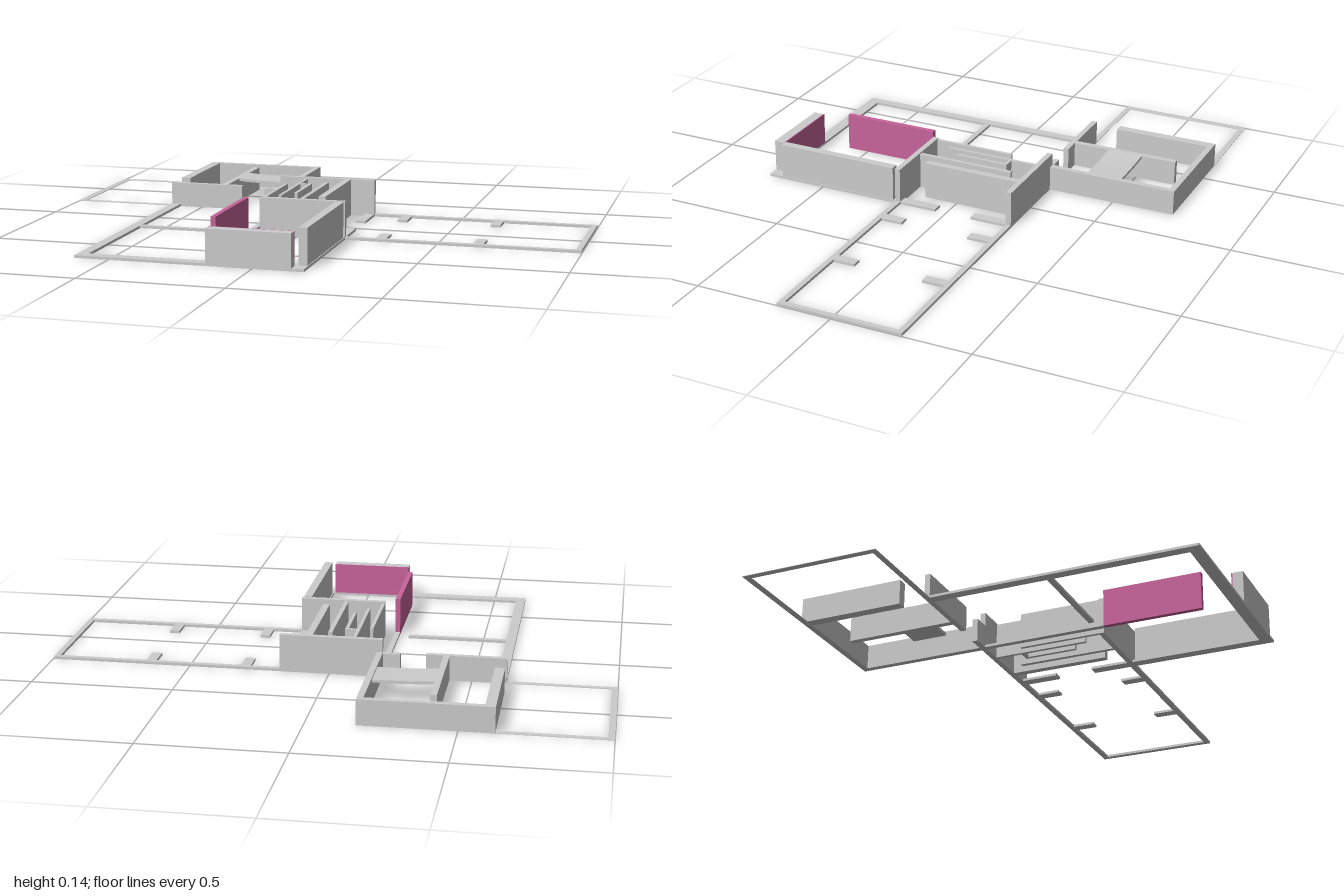
import * as THREE from 'three';

export function createModel() {
  const model = new THREE.Group();
  const grey = new THREE.MeshStandardMaterial({ color: 0xcccccc });
  const pink = new THREE.MeshStandardMaterial({ color: 0xc8649b });

  // A wall given by its plan rectangle and its bottom and top heights
  const wall = (parent, name, x0, x1, z0, z1, top, bottom = 0, material = grey) => {
    const mesh = new THREE.Mesh(new THREE.BoxGeometry(x1 - x0, top - bottom, z1 - z0), material);
    mesh.position.set((x0 + x1) / 2, (top + bottom) / 2, (z0 + z1) / 2);
    mesh.name = name;
    parent.add(mesh);
  };
  const section = (name) => {
    const g = new THREE.Group();
    g.name = name;
    model.add(g);
    return g;
  };

  const FLAT = 0.002, LOW = 0.009, MID = 0.09, TALL = 0.135;

  // Flat outline of the back yard
  const yard = section('backYardOutline');
  wall(yard, 'yardBackEdge', -1, -0.62, -0.73, -0.708, FLAT);
  wall(yard, 'yardSideEdge', -1, -0.978, -0.708, -0.255, FLAT);
  wall(yard, 'yardFrontEdge', -1, -0.62, -0.255, -0.235, FLAT);

  // Low foundations of the front court
  const court = section('frontCourtFoundation');
  wall(court, 'courtLeftFooting', -0.62, -0.585, -0.235, 0.68, LOW);
  wall(court, 'courtFrontFooting', -0.62, 0.175, 0.68, 0.722, LOW);
  wall(court, 'courtRightFooting', 0.138, 0.175, 0.04, 0.68, LOW);
  wall(court, 'courtDivider', -0.585, -0.225, 0.18, 0.2, LOW);
  wall(court, 'courtInnerFooting', -0.188, -0.168, -0.235, 0.22, LOW);

  // Low foundations of the long side hall, with pilaster stubs
  const hall = section('sideHallFoundation');
  wall(hall, 'hallBackFooting', 0.175, 0.995, -0.255, -0.235, LOW);
  wall(hall, 'hallFrontFooting', 0.175, 0.995, 0.18, 0.2, LOW);
  wall(hall, 'hallEndFooting', 0.978, 0.998, -0.255, 0.2, LOW);
  wall(hall, 'hallInnerStub', 0.138, 0.175, -0.235, -0.1, LOW);
  for (const x of [0.3, 0.643]) {
    wall(hall, 'backPilaster', x - 0.018, x + 0.018, -0.235, -0.155, LOW);
    wall(hall, 'frontPilaster', x - 0.018, x + 0.018, 0.1, 0.18, LOW);
  }

  // Standing back room
  const back = section('backRoom');
  wall(back, 'backWall', -0.62, -0.168, -0.73, -0.708, MID);
  wall(back, 'leftWall', -0.62, -0.585, -0.708, -0.35, MID);
  wall(back, 'rightWall', -0.19, -0.168, -0.708, -0.255, MID);
  wall(back, 'innerWall', -0.422, -0.4, -0.65, -0.255, MID);
  wall(back, 'frontWall', -0.62, -0.34, -0.255, -0.235, MID);
  wall(back, 'doorSideWall', -0.25, -0.188, -0.255, -0.235, 0.085);

  // Raised slab spanning the room, sagging a little from the inner wall
  const profile = new THREE.Shape();
  profile.moveTo(-0.4, 0.09);
  profile.quadraticCurveTo(-0.33, 0.083, -0.19, 0.084);
  profile.lineTo(-0.19, 0.074);
  profile.quadraticCurveTo(-0.33, 0.073, -0.4, 0.08);
  const slab = new THREE.Mesh(
    new THREE.ExtrudeGeometry(profile, { depth: 0.13, bevelEnabled: false, curveSegments: 6 }), grey);
  slab.position.z = -0.52;
  slab.name = 'raisedSlab';
  back.add(slab);

  // Tall middle block with narrow stalls
  const block = section('middleBlock');
  wall(block, 'blockBackWall', -0.188, 0.175, -0.255, -0.235, TALL);
  wall(block, 'blockFrontWall', -0.135, 0.175, 0.18, 0.2, TALL);
  wall(block, 'blockRightWall', 0.06, 0.085, -0.235, 0.125, TALL);
  const stalls = [
    [-0.136, -0.124, -0.12, 0.18], [-0.092, -0.08, -0.235, 0.112],
    [-0.05, -0.038, -0.14, 0.055], [-0.08, -0.05, -0.14, -0.128], [0, 0.015, 0.18 - 0.36, 0.18],
  ];
  for (const s of stalls) wall(block, 'stallPartition', ...s, 0.13);

  // Tall front room with coloured inner walls
  const front = section('frontRoom');
  wall(front, 'rightRoomWall', 0.142, 0.172, 0.21, 0.67, TALL);
  wall(front, 'colouredSideWall', -0.188, -0.17, 0.22, 0.58, 0.137, 0, pink);
  wall(front, 'frontRoomWall', -0.16, 0.132, 0.684, 0.722, 0.125);
  wall(front, 'colouredFrontPanel', -0.16, 0.132, 0.68, 0.684, 0.125, LOW, pink);

  return model;
}
